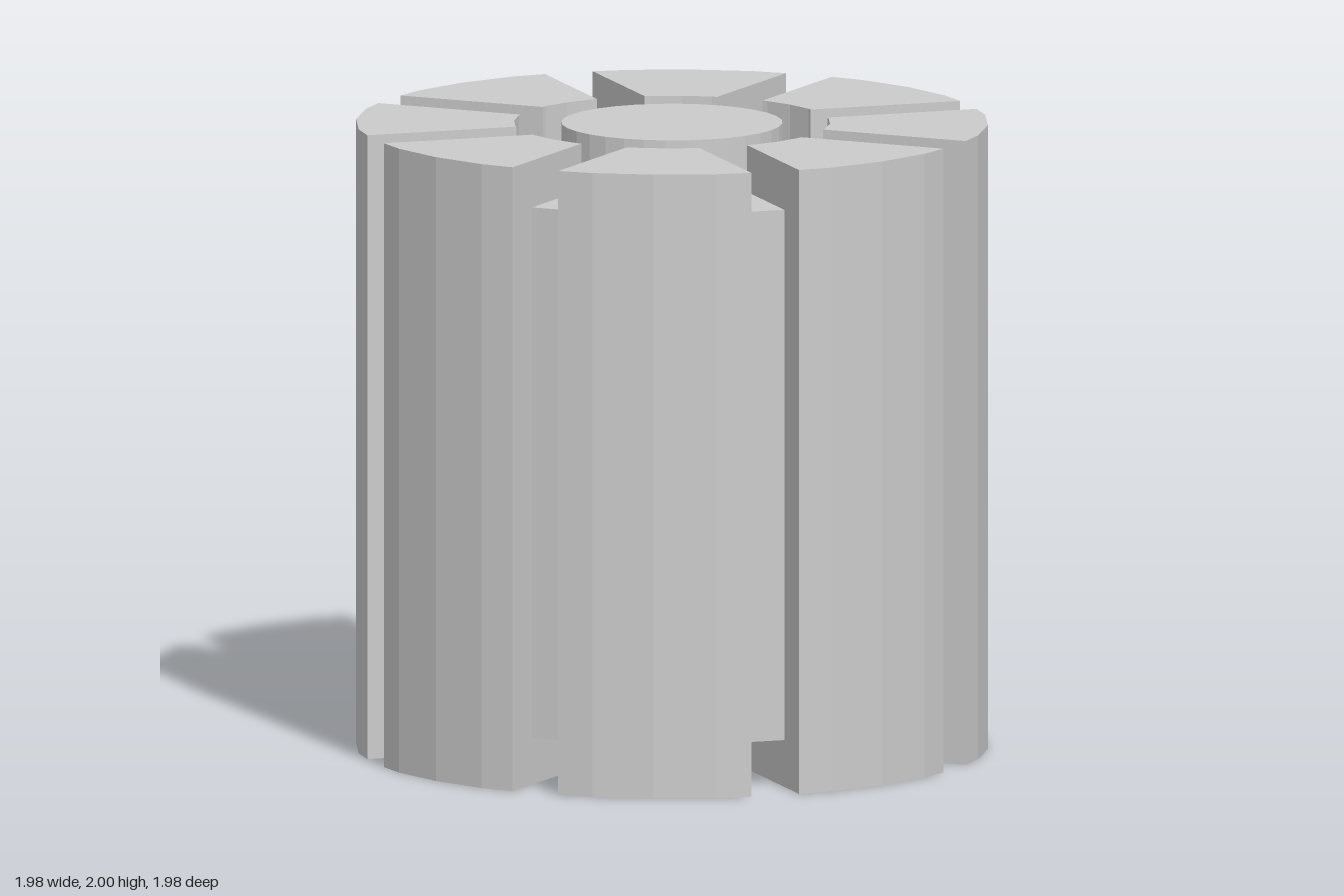
import * as THREE from 'three';

const HEIGHT = 2, SLOT = 0.08, STEP = Math.PI / 16; // half slot width, 32-sided rings

// Points along a 32-sided ring within one 45 degree sector, cut back to leave the slots
function ringArc(radius) {
  const startX = radius - SLOT * Math.tan(STEP / 2);
  const points = [new THREE.Vector2(startX, SLOT)];
  for (let i = 1; i <= 3; i++) {
    points.push(new THREE.Vector2(radius * Math.cos(i * STEP), radius * Math.sin(i * STEP)));
  }
  points.push(new THREE.Vector2((startX + SLOT) * Math.SQRT1_2, (startX - SLOT) * Math.SQRT1_2));
  return points;
}

export function createModel() {
  const model = new THREE.Group();
  model.name = 'slottedRotor';
  const material = new THREE.MeshStandardMaterial({ color: 0xcccccc, flatShading: true });

  // Central shaft, full height
  const shaft = new THREE.Mesh(new THREE.CylinderGeometry(0.35, 0.35, HEIGHT, 32), material);
  shaft.name = 'shaft';
  shaft.position.y = HEIGHT / 2;
  model.add(shaft);

  // Eight-sided core whose flats form the slot floors
  const coreRadius = 0.85 / Math.cos(Math.PI / 8);
  const core = new THREE.Mesh(new THREE.CylinderGeometry(coreRadius, coreRadius, 1.7, 8), material);
  core.name = 'core';
  core.position.y = HEIGHT / 2;
  core.rotation.y = Math.PI / 8;
  model.add(core);

  // Eight outer segments separated by parallel-sided slots
  const outline = new THREE.Shape([...ringArc(1), ...ringArc(0.5).reverse()]);
  const segmentGeometry = new THREE.ExtrudeGeometry(outline, { depth: HEIGHT, bevelEnabled: false });
  segmentGeometry.rotateX(-Math.PI / 2);
  for (let i = 0; i < 8; i++) {
    const segment = new THREE.Mesh(segmentGeometry, material);
    segment.name = `segment${i + 1}`;
    segment.rotation.y = (i * Math.PI) / 4;
    model.add(segment);
  }
  return model;
}
